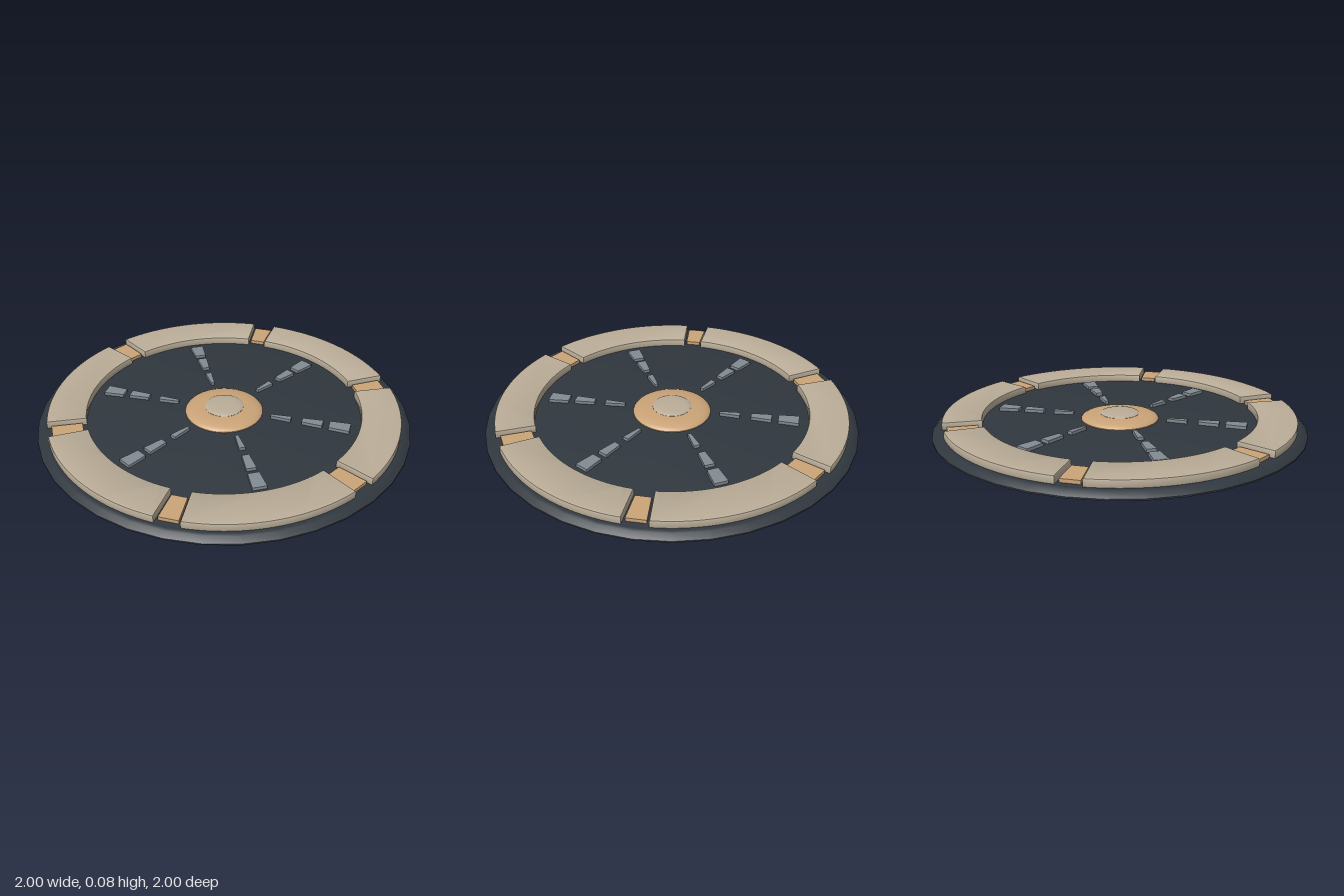
import * as THREE from 'three';
import { toCreasedNormals } from 'three/addons/utils/BufferGeometryUtils.js';

const FLOOR = 0.035;
const V = (x, y) => new THREE.Vector2(x, y);

function material(name, color) {
  const m = new THREE.MeshStandardMaterial({ color });
  m.name = name;
  return m;
}

// Revolved solid with soft curves and sharp corners
function turned(points, sides, crease = 0.6) {
  return toCreasedNormals(new THREE.LatheGeometry(points, sides), crease);
}

// Lays a flat outline on the floor and raises it to the given top height
function slab(shape, top, bevel) {
  const base = FLOOR - 0.008;
  const g = new THREE.ExtrudeGeometry(shape, {
    depth: top - base - 2 * bevel, curveSegments: 24,
    bevelEnabled: bevel > 0, bevelThickness: bevel, bevelSize: bevel,
    bevelOffset: -bevel, bevelSegments: 2,
  });
  g.rotateX(-Math.PI / 2);
  g.translate(0, base + bevel, 0);
  return toCreasedNormals(g, 0.6);
}

// Wedge pointing along +x, with half widths at its inner and outer ends
function wedge(r0, r1, w0, w1) {
  return new THREE.Shape([V(r0, -w0), V(r1, -w1), V(r1, w1), V(r0, w0)]);
}

// Ring sector centred on +x
function sector(r0, r1, half) {
  const s = new THREE.Shape();
  s.absarc(0, 0, r1, -half, half, false);
  s.absarc(0, 0, r0, half, -half, true);
  s.closePath();
  return s;
}

export function createModel() {
  const model = new THREE.Group();
  model.name = 'floorDisc';

  const dark = material('darkSlate', 0x30373e);
  const stone = material('paleStone', 0xbbae99);
  const copper = material('warmCopper', 0xcba478);
  const steel = material('greySteel', 0x828b93);

  function add(name, geometry, mat, angle = 0) {
    const mesh = new THREE.Mesh(geometry, mat);
    mesh.name = name;
    mesh.rotation.y = angle;
    model.add(mesh);
  }

  // Base plate with a chamfered rim
  add('basePlate', turned([
    V(0, 0), V(1, 0), V(1, 0.008), V(0.975, 0.031), V(0.96, FLOOR), V(0, FLOOR),
  ], 36), dark);

  // Central hub dome and its cap
  add('hubDome', turned([
    V(0.21, FLOOR - 0.005), V(0.21, 0.039), V(0.204, 0.046), V(0.19, 0.053),
    V(0.165, 0.059), V(0.135, 0.063), V(0.1, 0.065), V(0, 0.065),
  ], 40), copper);
  add('hubCap', turned([
    V(0.105, 0.06), V(0.105, 0.066), V(0.099, 0.07), V(0.085, 0.073),
    V(0.05, 0.075), V(0, 0.0755),
  ], 32), stone);

  // Geometries shared by the six repeats
  const ring = slab(sector(0.737, 0.945, THREE.MathUtils.degToRad(26.1)), 0.075, 0.007);
  const insert = slab(wedge(0.76, 0.92, 0.04, 0.05), 0.054, 0);
  const spokes = [
    wedge(0.26, 0.37, 0.009, 0.017),
    wedge(0.43, 0.54, 0.019, 0.027),
    wedge(0.575, 0.685, 0.03, 0.037),
  ].map((shape) => slab(shape, 0.052, 0));

  for (let i = 0; i < 6; i++) {
    const angle = i * Math.PI / 3;
    add('ringSegment', ring, stone, angle);
    add('gapInsert', insert, copper, angle + Math.PI / 6);
    spokes.forEach((g) => add('spokeBlock', g, steel, angle));
  }
  return model;
}
